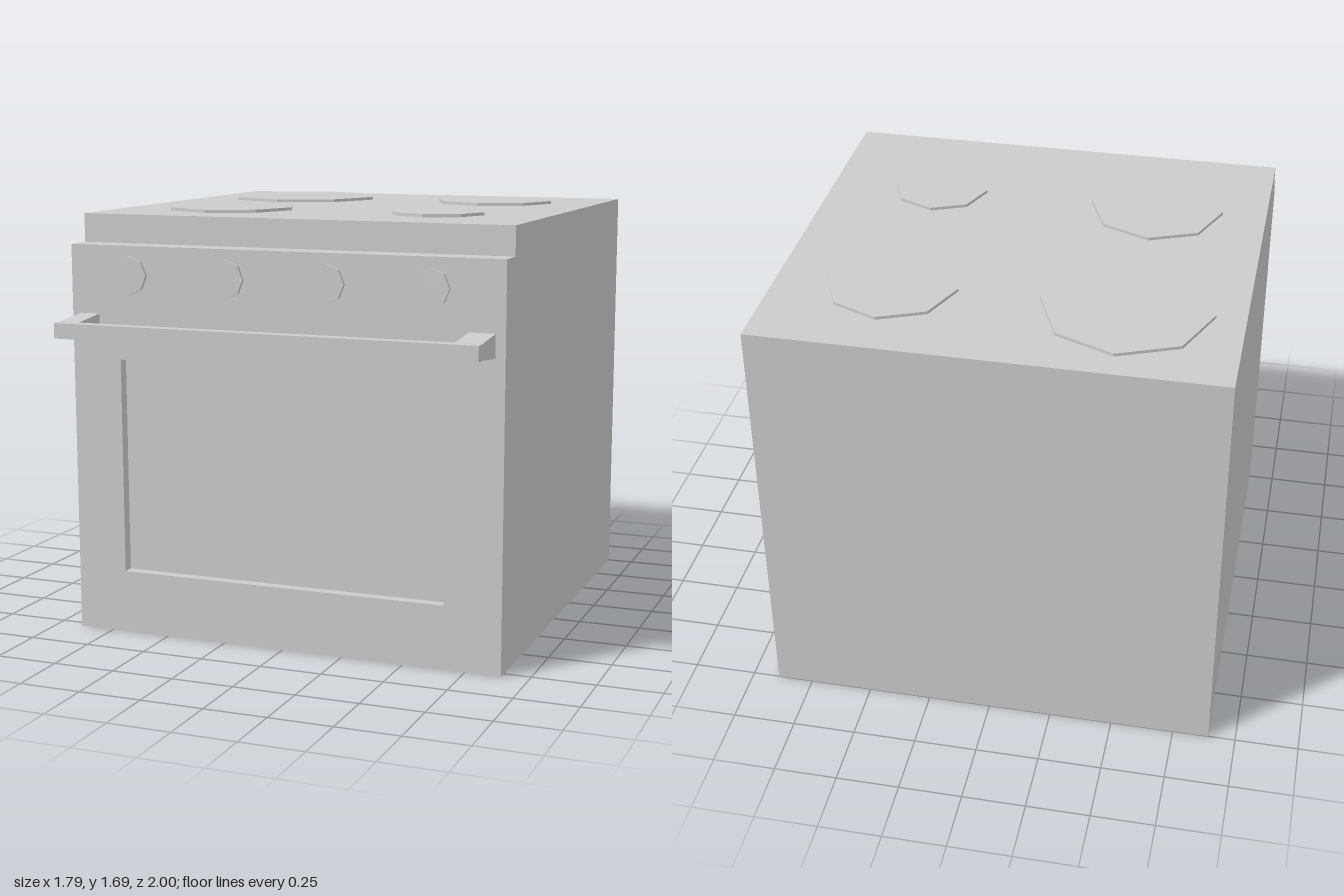
import * as THREE from 'three';

const material = new THREE.MeshStandardMaterial({ color: 0xcccccc, flatShading: true });

function add(parent, name, geometry, x = 0, y = 0, z = 0) {
  const mesh = new THREE.Mesh(geometry, material);
  mesh.name = name;
  mesh.position.set(x, y, z);
  parent.add(mesh);
  return mesh;
}

// Extrudes a [z, y] side profile across x, centred on x = 0
function sideExtrude(points, width) {
  const shape = new THREE.Shape(points.map(([z, y]) => new THREE.Vector2(z, y)));
  return new THREE.ExtrudeGeometry(shape, { depth: width, bevelEnabled: false })
    .translate(0, 0, -width / 2)
    .rotateY(-Math.PI / 2);
}

function rectangle(Type, x0, y0, x1, y1) {
  return new Type([[x0, y0], [x1, y0], [x1, y1], [x0, y1]].map(([x, y]) => new THREE.Vector2(x, y)));
}

export function createModel() {
  const stove = new THREE.Group();
  stove.name = 'stove';

  const halfWidth = 0.893, frontZ = 0.79, recess = 0.043;
  const panelTop = 1.568, top = 1.682;
  const backZ = frontZ - recess;

  // Cabinet, with the cooktop set back from the front panel
  add(stove, 'cabinet', sideExtrude([
    [-1, 0], [backZ, 0], [backZ, panelTop], [0.681, panelTop], [0.681, top], [-1, top],
  ], halfWidth * 2));

  // Front panel with the oven window cut out, leaving a shallow recess
  const panel = rectangle(THREE.Shape, -halfWidth, 0, halfWidth, panelTop);
  panel.holes.push(rectangle(THREE.Path, -0.685, 0.253, 0.665, 1.117));
  add(stove, 'frontPanel',
    new THREE.ExtrudeGeometry(panel, { depth: recess, bevelEnabled: false }), 0, 0, backZ);

  // Octagonal hot plates: x, z, radius
  const plates = [[-0.452, -0.558, 0.328], [0.444, -0.558, 0.254], [-0.452, 0.228, 0.267], [0.444, 0.228, 0.192]];
  for (const [x, z, r] of plates) {
    add(stove, 'hotPlate', new THREE.CylinderGeometry(r, r, 0.012, 8), x, top + 0.006, z);
  }

  // Octagonal control knobs
  for (let i = 0; i < 4; i++) {
    const knob = new THREE.CylinderGeometry(0.076, 0.076, 0.014, 8).rotateX(Math.PI / 2);
    add(stove, 'knob', knob, -0.637 + i * 0.414, 1.453, frontZ + 0.007);
  }

  // Door handle: a bar on two brackets that flare toward the door
  const handle = new THREE.Group();
  handle.name = 'handle';
  stove.add(handle);
  add(handle, 'handleBar', new THREE.BoxGeometry(1.713, 0.06, 0.05), -0.002, 1.25, 0.975);
  const flare = [[frontZ, 1.204], [0.95, 1.22], [0.95, 1.28], [frontZ, 1.296]];
  for (const [x0, x1] of [[-0.858, -0.776], [0.751, 0.854]]) {
    add(handle, 'handleBracket', sideExtrude(flare, x1 - x0), (x0 + x1) / 2);
  }

  return stove;
}
